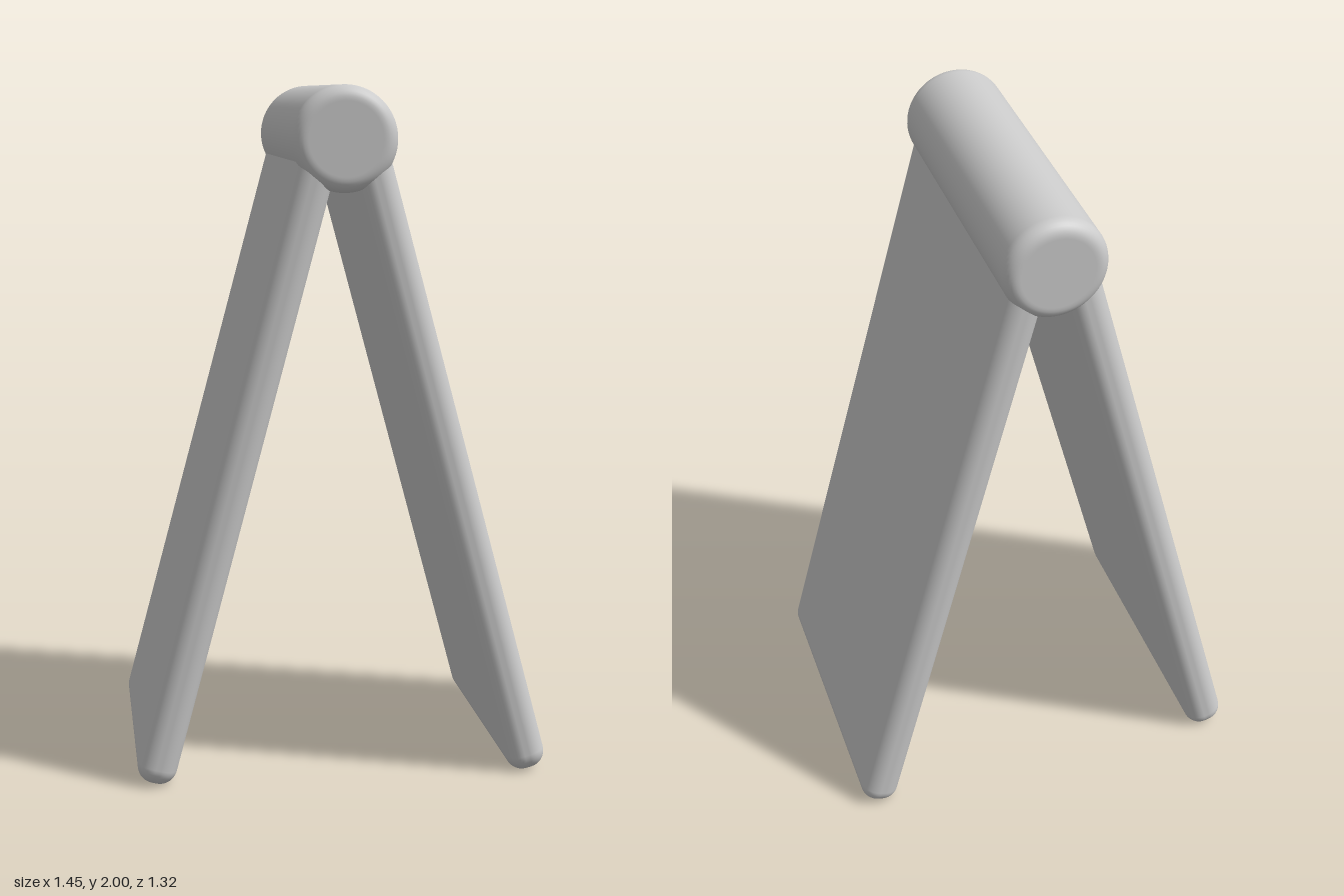
import * as THREE from 'three';
import { RoundedBoxGeometry } from 'three/addons/geometries/RoundedBoxGeometry.js';

const HINGE_Y = 1.85, HINGE_R = 0.15, HINGE_HALF = 0.477;
const PANEL_T = 0.115, PANEL_W = 0.932, PANEL_TOP = 0.03, PANEL_END = 1.927;
const ROUND = 0.05, BEVEL = 0.04;
const TILT = THREE.MathUtils.degToRad(15);
const TURN = THREE.MathUtils.degToRad(-25);

const material = new THREE.MeshStandardMaterial({ color: 0xcccccc });

// Round bar with softly rounded rims, turned about its own axis
function createHinge() {
  const flat = HINGE_R - BEVEL;
  const half = [new THREE.Vector2(0, HINGE_HALF), new THREE.Vector2(flat - 0.005, HINGE_HALF)];
  for (let i = 0; i <= 8; i++) {
    const a = Math.PI / 2 * (1 - i / 8);
    half.push(new THREE.Vector2(
      flat + BEVEL * Math.cos(a),
      HINGE_HALF - BEVEL + BEVEL * Math.sin(a)
    ));
  }
  half.push(new THREE.Vector2(HINGE_R, HINGE_HALF - BEVEL - 0.005));
  const lower = half.map(p => new THREE.Vector2(p.x, -p.y));
  const hinge = new THREE.Mesh(new THREE.LatheGeometry([...lower, ...half.reverse()], 64), material);
  hinge.name = 'hingeBar';
  hinge.rotation.x = Math.PI / 2;
  hinge.position.y = HINGE_Y;
  return hinge;
}

// Rounded board hanging from the hinge axis, its inner face on the axis
function createPanel(side, name) {
  const length = PANEL_END - PANEL_TOP;
  const board = new THREE.Mesh(
    new RoundedBoxGeometry(PANEL_T, length, PANEL_W, 6, ROUND), material);
  board.name = name;
  board.position.set(side * PANEL_T / 2, -(PANEL_TOP + PANEL_END) / 2, 0);
  const pivot = new THREE.Group();
  pivot.name = name + 'Pivot';
  pivot.position.y = HINGE_Y;
  pivot.rotation.z = side * TILT;
  pivot.add(board);
  return pivot;
}

export function createModel() {
  const model = new THREE.Group();
  model.name = 'foldingStand';
  model.add(createHinge(), createPanel(1, 'leftPanel'), createPanel(-1, 'rightPanel'));
  model.rotation.y = TURN;
  const root = new THREE.Group();
  root.add(model);
  return root;
}
